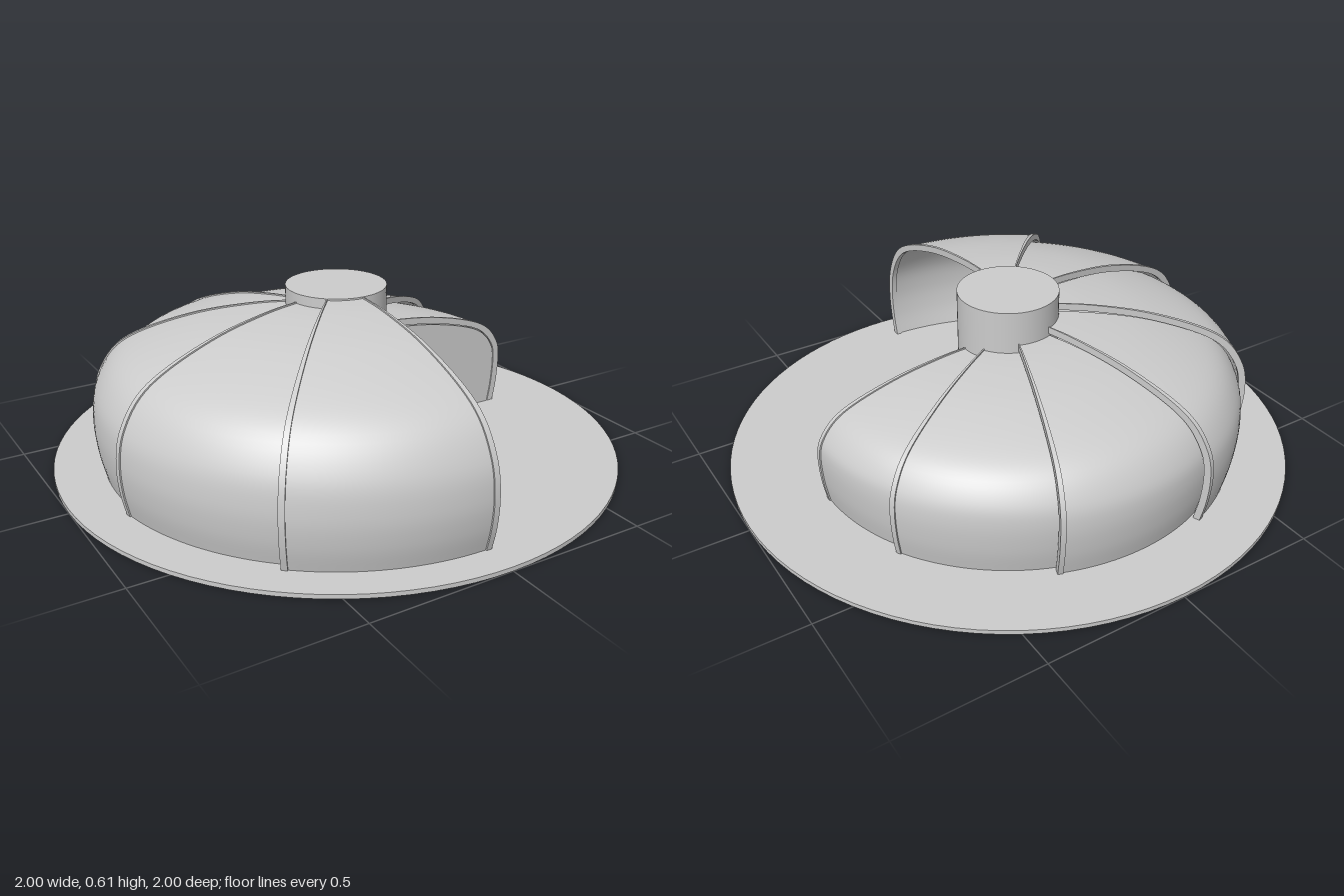
import * as THREE from 'three';

const material = new THREE.MeshStandardMaterial({ color: 0xcccccc, side: THREE.DoubleSide });
const rad = THREE.MathUtils.degToRad;
const FLOOR = 0.015, BULGE_Y = 0.2;
const OUTER_R = 0.91, OUTER_H = 0.605, STEP = 0.029, THICK = 0.014;

// Section of the largest dome leaf, from the floor up to the column
const section = [[0.885, 0.015], [0.904, 0.1], [0.91, 0.2], [0.89, 0.31], [0.82, 0.42],
  [0.7, 0.493], [0.5, 0.56], [0.3, 0.595], [0.16, 0.605]];

// Same section shrunk by an inset, keeping the bulge at one height
function profile(inset) {
  const sx = (OUTER_R - inset - 0.16) / (OUTER_R - 0.16);
  const sy = (OUTER_H - inset - BULGE_Y) / (OUTER_H - BULGE_Y);
  const points = section.map(([x, y]) => new THREE.Vector2(
    0.16 + (x - 0.16) * sx,
    y > BULGE_Y ? BULGE_Y + (y - BULGE_Y) * sy : y));
  return new THREE.SplineCurve(points).getPoints(40);
}

function addMesh(parent, geometry, name) {
  const mesh = new THREE.Mesh(geometry, material);
  mesh.name = name;
  parent.add(mesh);
  return mesh;
}

// Curved slab between two insets, swept from angle a to b (0 = +x, turning to -z)
function sweptSlab(name, outer, inner, a, b, segments) {
  const group = new THREE.Group();
  group.name = name;
  const out = profile(outer), inn = profile(inner);
  for (const [points, side] of [[out, 'outerSkin'], [inn, 'innerSkin']]) {
    addMesh(group, new THREE.LatheGeometry(points, segments, rad(a + 90), rad(b - a)), side);
  }
  const cap = new THREE.ShapeGeometry(new THREE.Shape([...out, ...inn.slice().reverse()]));
  for (const angle of [a, b]) addMesh(group, cap, 'endEdge').rotation.y = rad(angle);
  return group;
}

export function createModel() {
  const model = new THREE.Group();
  model.name = 'telescopingDome';

  // Round base plate and central column
  const base = addMesh(model, new THREE.CylinderGeometry(1, 1, FLOOR, 96), 'basePlate');
  base.position.y = FLOOR / 2;
  const column = addMesh(model, new THREE.CylinderGeometry(0.175, 0.175, 0.61 - FLOOR, 64), 'centralColumn');
  column.position.y = (0.61 + FLOOR) / 2;

  // Nested leaves, each larger one fanned further around the column
  const starts = [0, 0, 29.5, 69, 109, 149, 188.5, 228.5];
  starts.forEach((start, i) => {
    const inset = STEP * (starts.length - 1 - i);
    const end = start + 42;
    model.add(sweptSlab('domeLeaf' + i, inset, inset + THICK, start, end, 20));
    // Raised rim on the leading edge
    model.add(sweptSlab('leafRim' + i, inset - 0.005, inset + THICK + 0.006, start, start + 1.3, 2));
    if (i === starts.length - 1) {
      model.add(sweptSlab('openingRim', inset - 0.005, inset + THICK + 0.006, end - 1.3, end, 2));
    }
  });

  // Flat wall closing the smallest leaf
  const wallEdge = profile(STEP * (starts.length - 1) + THICK);
  wallEdge.push(new THREE.Vector2(0.16, FLOOR));
  addMesh(model, new THREE.ShapeGeometry(new THREE.Shape(wallEdge)), 'endWall');

  return model;
}
